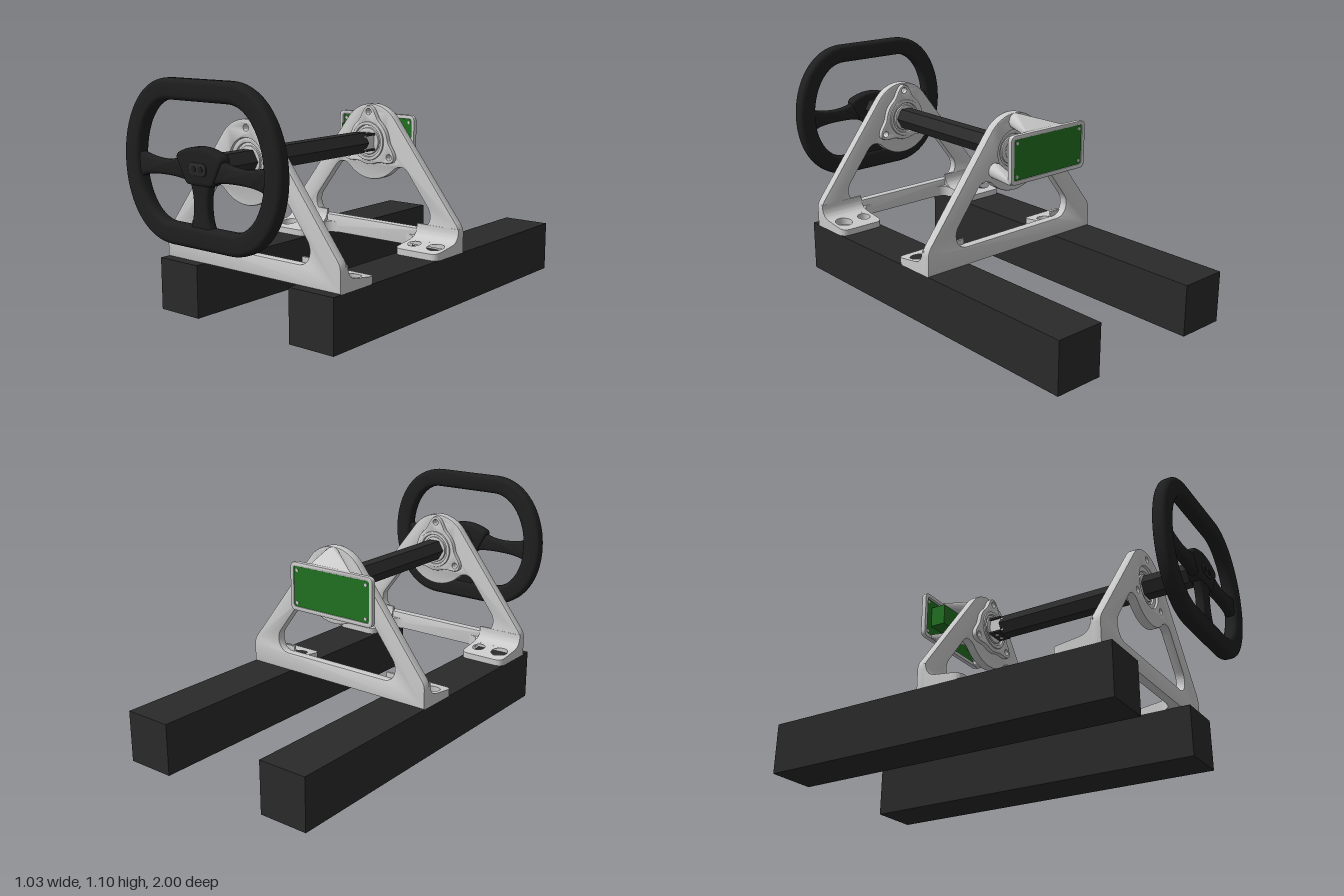
import * as THREE from 'three';
import { toCreasedNormals } from 'three/addons/utils/BufferGeometryUtils.js';
import { ConvexGeometry } from 'three/addons/geometries/ConvexGeometry.js';

const mat = (color) => new THREE.MeshStandardMaterial({ color });
const grey = mat(0xcccccc), black = mat(0x2a2a2a), dark = mat(0x1f1f1f), green = mat(0x217021);
const AXIS_Y = 0.735; // height of the steering axis
const lobes = [0, 1, 2].map((i) => {
  const a = Math.PI / 2 + (i * Math.PI * 2) / 3;
  return [0.143 * Math.cos(a), AXIS_Y + 0.143 * Math.sin(a)];
});

function add(parent, name, geometry, material, x = 0, y = 0, z = 0) {
  const mesh = new THREE.Mesh(geometry, material);
  mesh.name = name;
  mesh.position.set(x, y, z);
  parent.add(mesh);
  return mesh;
}

const box = (w, h, d) => new THREE.BoxGeometry(w, h, d);

// Extrusion of total thickness z0..z1 whose bevel stays inside the outline
function slab(shape, z0, z1, bevel = 0, segments = 2) {
  const geo = new THREE.ExtrudeGeometry(shape, {
    depth: z1 - z0 - 2 * bevel, bevelEnabled: bevel > 0, bevelThickness: bevel,
    bevelSize: bevel, bevelOffset: -bevel, bevelSegments: segments, curveSegments: 20,
  });
  geo.translate(0, 0, z0 + bevel);
  return toCreasedNormals(geo, 0.6);
}

const circle = (x, y, r) => new THREE.Path().absarc(x, y, r, 0, Math.PI * 2, true);

function roundedRect(target, x0, y0, x1, y1, r) {
  target.moveTo(x0 + r, y0).lineTo(x1 - r, y0).quadraticCurveTo(x1, y0, x1, y0 + r);
  target.lineTo(x1, y1 - r).quadraticCurveTo(x1, y1, x1 - r, y1);
  target.lineTo(x0 + r, y1).quadraticCurveTo(x0, y1, x0, y1 - r);
  return target.lineTo(x0, y0 + r).quadraticCurveTo(x0, y0, x0 + r, y0);
}

// Foot with two counterbored bolt holes; s runs inward from the plate
function addFoot(parent, side) {
  const foot = new THREE.Group();
  foot.name = side > 0 ? 'leftFoot' : 'rightFoot';
  parent.add(foot);
  const X = (x) => x * side;
  const plan = new THREE.Shape();
  plan.moveTo(X(0.515), 0.03).lineTo(X(0.515), 0.19).quadraticCurveTo(X(0.515), 0.23, X(0.475), 0.23);
  plan.lineTo(X(0.32), 0.23).quadraticCurveTo(X(0.28), 0.23, X(0.28), 0.19);
  plan.lineTo(X(0.28), 0.11).quadraticCurveTo(X(0.28), 0.045, X(0.215), 0.045).lineTo(X(0.215), 0.03);
  const bolts = [[0.335, 0.032], [0.455, 0.042]];
  for (const [x, r] of bolts) plan.holes.push(circle(X(x), 0.145, r));
  const geo = new THREE.ExtrudeGeometry(plan, { depth: 0.03, bevelEnabled: false, curveSegments: 16 });
  geo.rotateX(-Math.PI / 2);
  // the top face slopes up toward the plate
  const p = geo.attributes.position;
  for (let i = 0; i < p.count; i++) {
    if (p.getY(i) > 0.015) p.setY(i, 0.03 + 0.135 * (0.23 + p.getZ(i)));
  }
  add(foot, 'footPad', toCreasedNormals(geo, 0.6), grey, 0, 0.245, 0);
  for (const [x, r] of bolts) {
    const ring = new THREE.Shape().absarc(0, 0, r + 0.002, 0, Math.PI * 2);
    ring.holes.push(circle(0, 0, 0.02));
    add(foot, 'boltSeat', slab(ring, 0, 0.012).rotateX(-Math.PI / 2), grey, X(x), 0.245, -0.145);
  }
  // fillet between pad and plate
  const f = new THREE.Shape();
  f.moveTo(0.035, 0.27).lineTo(0.1, 0.27).lineTo(0.1, 0.2926);
  f.quadraticCurveTo(0.046, 0.3, 0.046, 0.36).lineTo(0.035, 0.36);
  const x0 = side > 0 ? 0.28 : -0.515;
  add(foot, 'footFillet', slab(f, 0, 0.235).rotateY(Math.PI / 2), grey, x0, 0, 0);
}

// Bearing bracket: outer face at z = 0, feet pointing to -z
function makeBracket(name) {
  const g = new THREE.Group();
  g.name = name;
  const a = 0.656;
  const plate = new THREE.Shape();
  plate.moveTo(-0.515, 0.245).lineTo(0.515, 0.245).lineTo(0.515, 0.335);
  plate.quadraticCurveTo(0.515, 0.36, 0.5, 0.381);
  plate.absarc(0, AXIS_Y, 0.18, a, Math.PI - a, false);
  plate.lineTo(-0.5, 0.381).quadraticCurveTo(-0.515, 0.36, -0.515, 0.335);
  const win = new THREE.Path();
  win.moveTo(-0.29, 0.335).lineTo(0.29, 0.335).bezierCurveTo(0.345, 0.335, 0.37, 0.4, 0.335, 0.445);
  win.lineTo(0.225, 0.59).bezierCurveTo(0.2, 0.625, 0.165, 0.625, 0.135, 0.6);
  win.absarc(0, AXIS_Y, 0.191, -Math.PI / 4, -0.75 * Math.PI, true);
  win.bezierCurveTo(-0.165, 0.625, -0.2, 0.625, -0.225, 0.59).lineTo(-0.335, 0.445);
  win.bezierCurveTo(-0.37, 0.4, -0.345, 0.335, -0.29, 0.335);
  plate.holes.push(win, circle(0, AXIS_Y, 0.1));
  for (const [x, y] of lobes) plate.holes.push(circle(x, y, 0.014));
  add(g, 'bracketPlate', slab(plate, -0.045, 0, 0.006), grey);

  // three-lobed bearing flange on the inner face
  const pts = [];
  for (let i = 0; i < 96; i++) {
    const t = (i / 96) * Math.PI * 2;
    const r = 0.115 + 0.058 * Math.pow(Math.abs(Math.cos(1.5 * (t - Math.PI / 2))), 8);
    pts.push(new THREE.Vector2(r * Math.cos(t), AXIS_Y + r * Math.sin(t)));
  }
  const flange = new THREE.Shape(pts);
  flange.holes.push(circle(0, AXIS_Y, 0.08));
  for (const [x, y] of lobes) flange.holes.push(circle(x, y, 0.014));
  add(g, 'bearingFlange', slab(flange, -0.068, -0.04, 0.006), grey);

  // stepped bearing rings
  for (const [ro, ri, z0, z1] of [[0.101, 0.078, -0.05, -0.012], [0.095, 0.078, -0.076, -0.05], [0.08, 0.04, -0.064, -0.022], [0.066, 0.04, -0.074, -0.014]]) {
    const ring = new THREE.Shape().absarc(0, AXIS_Y, ro, 0, Math.PI * 2);
    ring.holes.push(circle(0, AXIS_Y, ri));
    add(g, 'bearingRing', slab(ring, z0, z1, 0.004), grey);
  }
  addFoot(g, 1);
  addFoot(g, -1);
  return g;
}

function makeWheel() {
  const g = new THREE.Group();
  g.name = 'steeringWheel';
  // rounded loop: flat half-width, side half-width, bottom, top, bulge
  const loop = (target, f, w, y0, y1, c, k) => {
    const m = 0.742;
    target.moveTo(-f, y0).lineTo(f, y0).bezierCurveTo(c, y0, w, m - k, w, m);
    target.bezierCurveTo(w, m + k, c, y1, f, y1).lineTo(-f, y1);
    return target.bezierCurveTo(-c, y1, -w, m + k, -w, m).bezierCurveTo(-w, m - k, -c, y0, -f, y0);
  };
  const rim = loop(new THREE.Shape(), 0.17, 0.455, 0.4, 1.095, 0.345, 0.185);
  rim.holes.push(loop(new THREE.Path(), 0.17, 0.36, 0.495, 1.005, 0.285, 0.135));
  add(g, 'rim', slab(rim, 0.935, 1, 0.022, 5), dark);

  for (const s of [1, -1]) {
    const spoke = new THREE.Shape();
    spoke.moveTo(s * 0.05, 0.67).quadraticCurveTo(s * 0.11, 0.695, s * 0.24, 0.69);
    spoke.quadraticCurveTo(s * 0.34, 0.688, s * 0.375, 0.66).lineTo(s * 0.39, 0.79);
    spoke.quadraticCurveTo(s * 0.35, 0.762, s * 0.24, 0.755);
    spoke.quadraticCurveTo(s * 0.14, 0.755, s * 0.1, 0.79).lineTo(s * 0.05, 0.79);
    add(g, 'sideSpoke', slab(spoke, 0.945, 0.988, 0.013, 4), dark);
  }
  const low = new THREE.Shape();
  low.moveTo(-0.075, 0.47).lineTo(0.075, 0.47).quadraticCurveTo(0.04, 0.51, 0.042, 0.6);
  low.quadraticCurveTo(0.045, 0.65, 0.07, 0.7).lineTo(-0.07, 0.7);
  low.quadraticCurveTo(-0.045, 0.65, -0.042, 0.6).quadraticCurveTo(-0.04, 0.51, -0.075, 0.47);
  add(g, 'lowerSpoke', slab(low, 0.945, 0.988, 0.013, 4), dark);

  const hub = new THREE.Shape();
  hub.moveTo(-0.055, 0.667).lineTo(0.055, 0.667).quadraticCurveTo(0.075, 0.667, 0.085, 0.685);
  hub.lineTo(0.128, 0.765).quadraticCurveTo(0.138, 0.785, 0.115, 0.798);
  hub.quadraticCurveTo(0, 0.85, -0.115, 0.798).quadraticCurveTo(-0.138, 0.785, -0.128, 0.765);
  hub.lineTo(-0.085, 0.685).quadraticCurveTo(-0.075, 0.667, -0.055, 0.667);
  add(g, 'hub', slab(hub, 0.935, 0.995, 0.012, 3), dark);
  const pad = roundedRect(new THREE.Shape(), -0.052, 0.708, 0.052, 0.762, 0.026);
  add(g, 'hubPad', slab(pad, 0.99, 0.999, 0.003), black);
  for (const x of [-0.02, 0.02]) {
    add(g, 'hubButton', new THREE.CylinderGeometry(0.013, 0.013, 0.006, 20).rotateX(Math.PI / 2), dark, x, AXIS_Y, 0.998);
  }
  return g;
}

// Circuit board on a three-legged holder behind the rear bracket
function makeElectronics() {
  const g = new THREE.Group();
  g.name = 'electronics';
  const frame = roundedRect(new THREE.Shape(), -0.325, 0.622, 0.145, 0.853, 0.03);
  frame.holes.push(roundedRect(new THREE.Path(), -0.305, 0.642, 0.125, 0.833, 0.012));
  add(g, 'boardFrame', slab(frame, -0.322, -0.298, 0.004), grey);
  add(g, 'circuitBoard', box(0.434, 0.195, 0.008), green, -0.09, 0.7375, -0.314);
  for (const x of [-0.287, 0.107]) for (const y of [0.66, 0.815]) {
    add(g, 'boardScrew', new THREE.CylinderGeometry(0.008, 0.008, 0.014, 12).rotateX(Math.PI / 2), grey, x, y, -0.314);
  }
  add(g, 'boardComponent', box(0.2, 0.1, 0.075), green, -0.16, 0.745, -0.272);
  add(g, 'sensorBoard', box(0.012, 0.1, 0.1), green, 0.055, 0.745, -0.26);

  // each leg: wide at the bracket lobe, flat where it meets the frame
  const ends = [[-0.2, 0.04, 0.84], [-0.28, -0.18, 0.632], [0.09, 0.14, 0.632]];
  lobes.forEach(([x, y], i) => {
    const pts = [];
    for (let k = 0; k < 16; k++) {
      const t = (k / 16) * Math.PI * 2;
      for (const z of [-0.186, -0.2]) pts.push(new THREE.Vector3(x + 0.036 * Math.cos(t), y + 0.036 * Math.sin(t), z));
    }
    const [x0, x1, ey] = ends[i];
    for (const ex of [x0, x1]) for (const dy of [-0.008, 0.008]) pts.push(new THREE.Vector3(ex, ey + dy, -0.31));
    add(g, 'holderLeg', toCreasedNormals(new ConvexGeometry(pts), 0.5), grey);
  });
  return g;
}

export function createModel() {
  const model = new THREE.Group();
  model.name = 'steeringRig';

  for (const s of [1, -1]) add(model, s > 0 ? 'leftBeam' : 'rightBeam', box(0.24, 0.245, 1.765), black, s * 0.395, 0.1225, -0.1175);

  const front = makeBracket('frontBracket');
  front.position.z = 0.72;
  const rear = makeBracket('rearBracket');
  rear.rotation.y = Math.PI;
  rear.position.z = -0.187;
  model.add(front, rear);

  // hexagonal shaft with a clamp coupling at the rear bearing
  const shaft = new THREE.CylinderGeometry(0.056, 0.056, 1.0, 6).toNonIndexed();
  shaft.rotateY(Math.PI / 6 + Math.PI / 3).rotateX(Math.PI / 2);
  add(model, 'shaft', toCreasedNormals(shaft, 0.5), black, 0, AXIS_Y, 0.445);
  add(model, 'coupling', box(0.08, 0.07, 0.12), grey, 0, AXIS_Y, -0.1);
  for (const s of [1, -1]) {
    add(model, 'couplingPlate', box(0.095, 0.01, 0.065), black, 0, AXIS_Y + s * 0.037, -0.084);
    for (const x of [-0.02, 0.02]) add(model, 'couplingScrew', new THREE.CylinderGeometry(0.009, 0.009, 0.014, 12), grey, x, AXIS_Y + s * 0.037, -0.085);
  }
  add(model, 'bearingEnd', new THREE.CylinderGeometry(0.045, 0.045, 0.06, 32).rotateX(Math.PI / 2), grey, 0, AXIS_Y, -0.145);

  model.add(makeWheel(), makeElectronics());
  return model;
}
